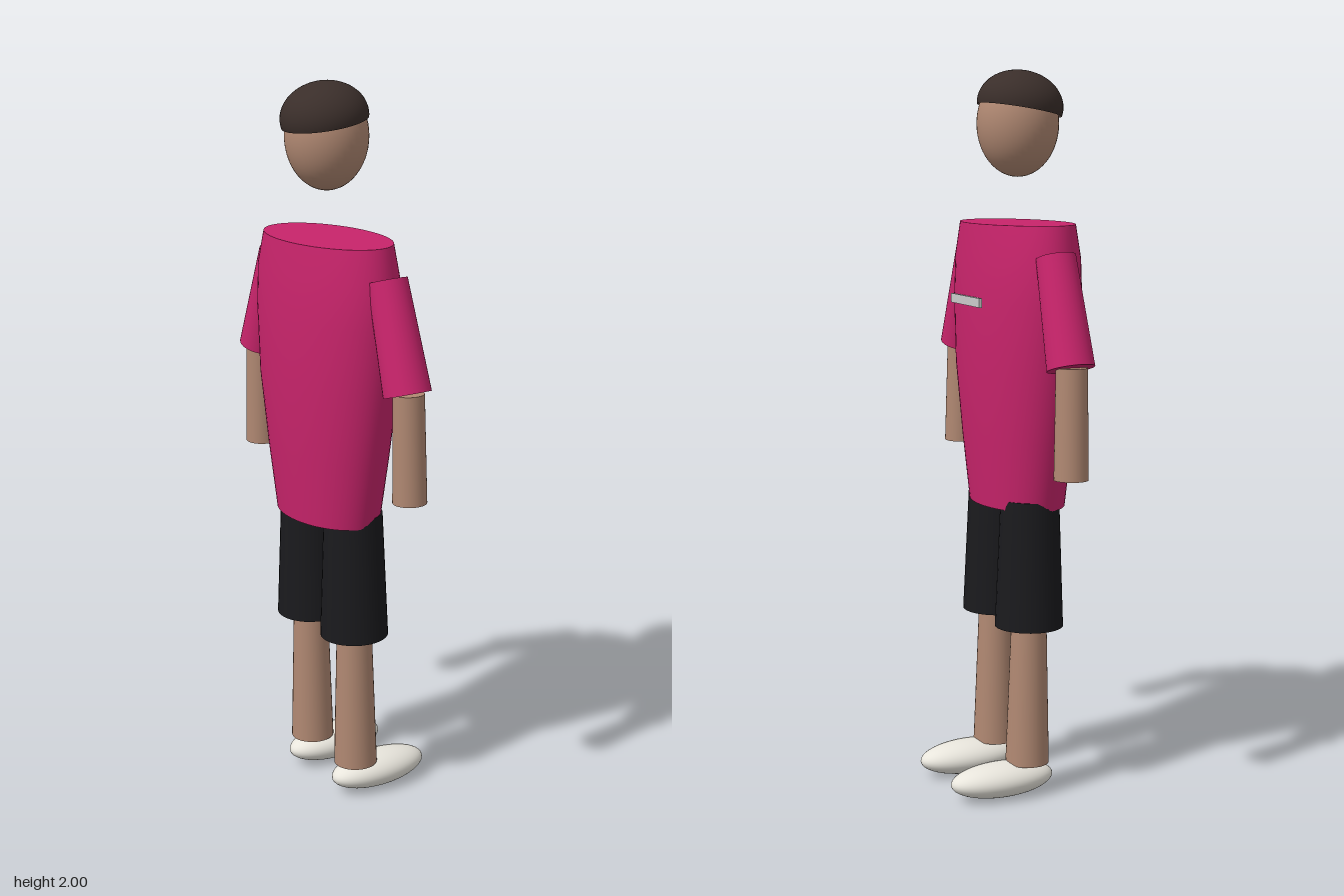
import * as THREE from 'three';
import { mergeVertices, toCreasedNormals } from 'three/addons/utils/BufferGeometryUtils.js';

const mat = (color) => new THREE.MeshStandardMaterial({ color });

export function createModel() {
  const model = new THREE.Group();
  model.name = 'figure';
  const shirt = mat(0xc8246b), skin = mat(0xb08872), hair = mat(0x3a2e2a);
  const black = mat(0x1a1a1d), white = mat(0xe8e5dc), grey = mat(0xcccccc);

  const add = (name, geometry, material) => {
    const mesh = new THREE.Mesh(geometry, material);
    mesh.name = name;
    model.add(mesh);
    return mesh;
  };

  // Tapered round limb between two points
  const limb = (name, top, bottom, rTop, rBottom, material) => {
    const a = new THREE.Vector3(...top), b = new THREE.Vector3(...bottom);
    const axis = a.clone().sub(b);
    const mesh = add(name, new THREE.CylinderGeometry(rTop, rBottom, axis.length(), 32), material);
    mesh.position.copy(a).add(b).multiplyScalar(0.5);
    mesh.quaternion.setFromUnitVectors(new THREE.Vector3(0, 1, 0), axis.normalize());
  };

  const ellipsoid = (name, center, radii, material, thetaLength = Math.PI) => {
    const mesh = add(name, new THREE.SphereGeometry(1, 40, 28, 0, Math.PI * 2, 0, thetaLength), material);
    mesh.position.set(...center);
    mesh.scale.set(...radii);
    return mesh;
  };

  // Torso: elliptical rows from the shoulders to the hem [y, half width, half depth]
  const rows = [
    [1.59, 0.237, 0.134], [1.5, 0.264, 0.143], [1.38, 0.267, 0.148],
    [1.2, 0.253, 0.147], [1.0, 0.219, 0.134], [0.815, 0.185, 0.118],
  ];
  let torso = new THREE.CylinderGeometry(1, 1, 1, 64, rows.length - 1);
  const p = torso.attributes.position;
  for (let i = 0; i < p.count; i++) {
    const [y, w, d] = rows[Math.round((0.5 - p.getY(i)) * (rows.length - 1))];
    p.setXYZ(i, p.getX(i) * w, y, p.getZ(i) * d + 0.05);
  }
  torso.deleteAttribute('uv');
  torso.deleteAttribute('normal');
  torso = toCreasedNormals(mergeVertices(torso), 0.7);
  add('torso', torso, shirt);

  // Bar across the upper back
  add('backBar', new THREE.BoxGeometry(0.19, 0.025, 0.008), grey).position.set(0, 1.382, -0.103);

  // Head and hair
  ellipsoid('head', [0, 1.856, 0.052], [0.113, 0.143, 0.112], skin);
  const cap = ellipsoid('hair', [0, 1.906, 0.059], [0.118, 0.093, 0.118], hair, Math.PI * 0.55);
  cap.rotation.x = 0.17;
  hair.side = THREE.DoubleSide;

  // Arms and legs
  for (const [side, s] of [['left', 1], ['right', -1]]) {
    limb(`${side}Sleeve`, [s * 0.257, 1.511, 0.04], [s * 0.347, 1.226, 0.04], 0.053, 0.064, shirt);
    limb(`${side}Forearm`, [s * 0.352, 1.23, 0.04], [s * 0.358, 0.935, 0.037], 0.042, 0.046, skin);
    limb(`${side}ShortsLeg`, [s * 0.106, 0.84, 0.04], [s * 0.108, 0.482, 0.037], 0.081, 0.095, black);
    limb(`${side}Calf`, [s * 0.108, 0.5, 0.037], [s * 0.109, 0.088, 0.032], 0.049, 0.061, skin);
    ellipsoid(`${side}Shoe`, [s * 0.109, 0.048, -0.046], [0.071, 0.048, 0.153], white);
  }
  return model;
}
